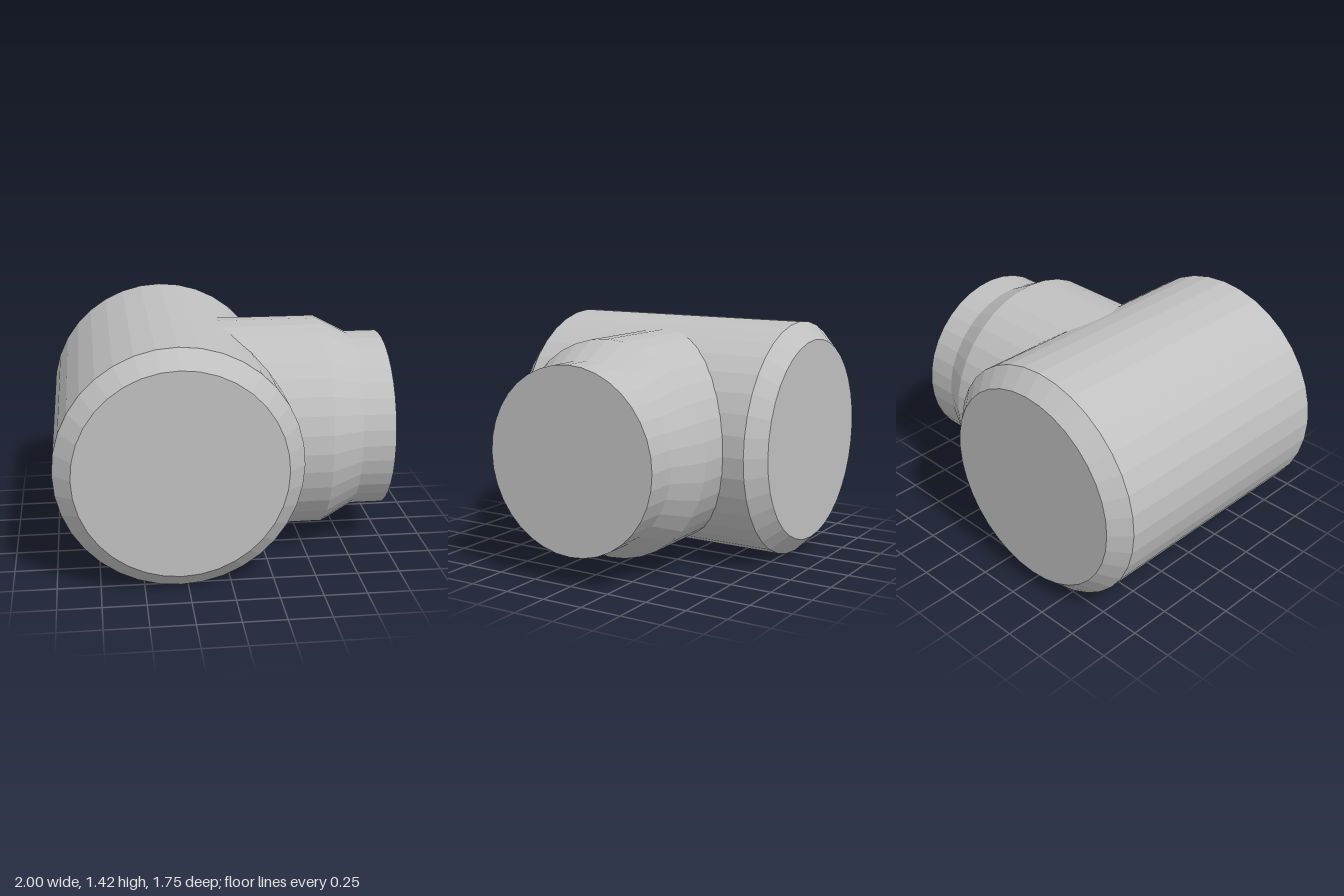
import * as THREE from 'three';

export function createModel() {
  const group = new THREE.Group();
  const grey = new THREE.MeshStandardMaterial({ color: 0xc0c0c0, flatShading: true });
  grey.name = 'plain grey';

  // Turned solid from [radius, height] pairs, listed bottom to top
  const turned = (name, profile) => {
    const points = profile.map(([r, h]) => new THREE.Vector2(r, h));
    const mesh = new THREE.Mesh(new THREE.LatheGeometry(points, 36), grey);
    mesh.name = name;
    group.add(mesh);
    return mesh;
  };

  // Main barrel along z with chamfered ends
  const barrel = turned('barrel', [
    [0, -0.875], [0.606, -0.875], [0.708, -0.773],
    [0.708, 0.773], [0.606, 0.875], [0, 0.875],
  ]);
  barrel.rotation.x = Math.PI / 2;
  barrel.position.set(-0.292, 0.708, 0);

  // Side branch along x, tapering to a narrower neck; its root is inside the barrel
  const branch = turned('sideBranch', [
    [0, -0.2], [0.643, -0.1], [0.643, 0.61], [0.541, 0.805], [0.541, 1], [0, 1],
  ]);
  branch.rotation.z = -Math.PI / 2;
  branch.position.y = 0.711;

  return group;
}
